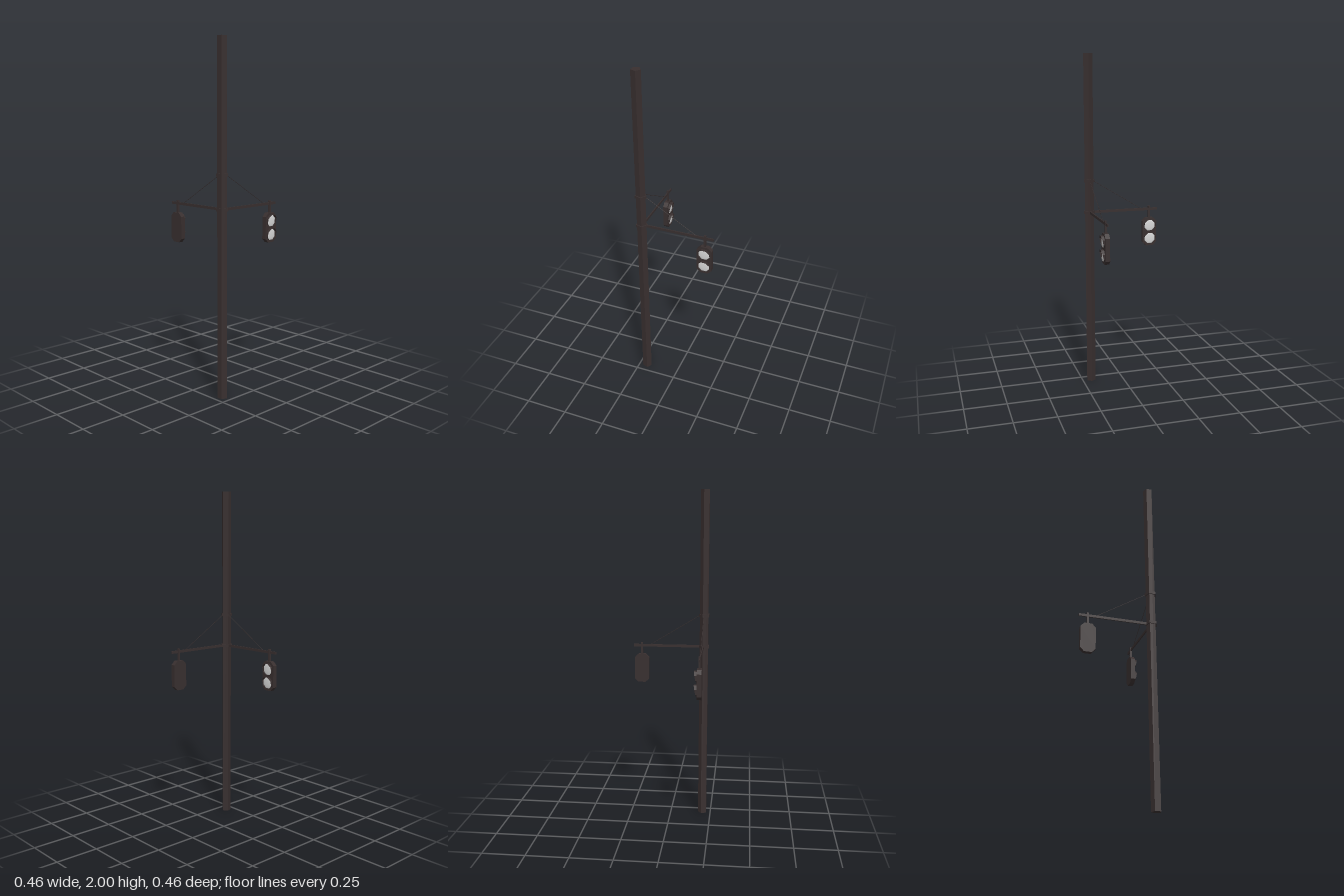
import * as THREE from 'three';

const metal = new THREE.MeshStandardMaterial({ color: 0x382f2f });
metal.name = 'dark metal';
const hoodMetal = new THREE.MeshStandardMaterial({ color: 0x382f2f, side: THREE.DoubleSide });
hoodMetal.name = 'dark metal hood';
const glass = new THREE.MeshStandardMaterial({ color: 0xd6d6d6 });
glass.name = 'pale lens';

function add(parent, name, geometry, material, x = 0, y = 0, z = 0) {
  const mesh = new THREE.Mesh(geometry, material);
  mesh.name = name;
  mesh.position.set(x, y, z);
  parent.add(mesh);
  return mesh;
}

// Faceted five-sided post section with its apex toward the back
function pentagon(radius, height) {
  const g = new THREE.CylinderGeometry(radius, radius, height, 5).rotateY(Math.PI).toNonIndexed();
  g.computeVertexNormals();
  return g;
}

// Chamfered lamp box, extruded along z
function housingGeometry(w, h, c, depth) {
  const s = new THREE.Shape([
    [-w + c, -h], [w - c, -h], [w, -h + c], [w, h - c],
    [w - c, h], [-w + c, h], [-w, h - c], [-w, -h + c],
  ].map(([x, y]) => new THREE.Vector2(x, y)));
  return new THREE.ExtrudeGeometry(s, { depth, bevelEnabled: false });
}

// Octagonal hood, deep at the top and shallow at the bottom, opening toward -z
function hoodGeometry(r) {
  const pos = [], index = [];
  for (let i = 0; i <= 8; i++) {
    const a = (i + 0.5) * Math.PI / 4;
    const x = r * Math.cos(a), y = r * Math.sin(a);
    const depth = 0.0105 + 0.0075 * Math.sin(a) / Math.cos(Math.PI / 8);
    pos.push(x, y, 0, x, y, -depth);
    if (i < 8) {
      const k = i * 2;
      index.push(k, k + 1, k + 2, k + 1, k + 3, k + 2);
    }
  }
  const indexed = new THREE.BufferGeometry();
  indexed.setAttribute('position', new THREE.Float32BufferAttribute(pos, 3));
  indexed.setIndex(index);
  const g = indexed.toNonIndexed();
  g.computeVertexNormals();
  return g;
}

// Arm along -x with a stay wire and a hanging two-lens lamp facing -z
function makeBracket(name) {
  const b = new THREE.Group();
  b.name = name;
  add(b, 'arm', new THREE.BoxGeometry(0.427, 0.015, 0.006), metal, -0.2135, 1.073, 0);

  const wire = new THREE.LineCurve3(new THREE.Vector3(-0.02, 1.265, 0), new THREE.Vector3(-0.325, 1.078, 0));
  add(b, 'stayWire', new THREE.TubeGeometry(wire, 1, 0.0015, 5), metal);

  const lampX = -0.376;
  add(b, 'hanger', new THREE.BoxGeometry(0.012, 0.075, 0.011), metal, lampX, 1.0535, 0);
  add(b, 'housing', housingGeometry(0.044, 0.087, 0.022, 0.027), metal, lampX, 0.933, -0.014 + 0.001);

  for (const y of [0.973, 0.893]) {
    add(b, 'hood', hoodGeometry(0.0372), hoodMetal, lampX, y, -0.013);
    // Shallow domed lens
    const dome = new THREE.SphereGeometry(0.0355, 8, 4, Math.PI / 8, Math.PI * 2, 0, Math.PI / 2)
      .scale(1, 0.12, 1).rotateX(-Math.PI / 2);
    add(b, 'lens', dome, glass, lampX, y, -0.0133);
  }
  return b;
}

export function createModel() {
  const model = new THREE.Group();
  model.name = 'signalPole';
  const px = 0.197, pz = 0.201;

  // Pole and the two clamping collars
  add(model, 'pole', pentagon(0.0285, 2), metal, px, 1, pz);
  for (const y of [1.073, 1.263]) add(model, 'collar', pentagon(0.035, 0.016), metal, px, y, pz);

  // Two brackets at right angles
  [['rightBracket', 0], ['backBracket', -Math.PI / 2]].forEach(([name, turn]) => {
    const bracket = makeBracket(name);
    bracket.position.set(px, 0, 0.197);
    bracket.rotation.y = turn;
    model.add(bracket);
  });
  return model;
}
